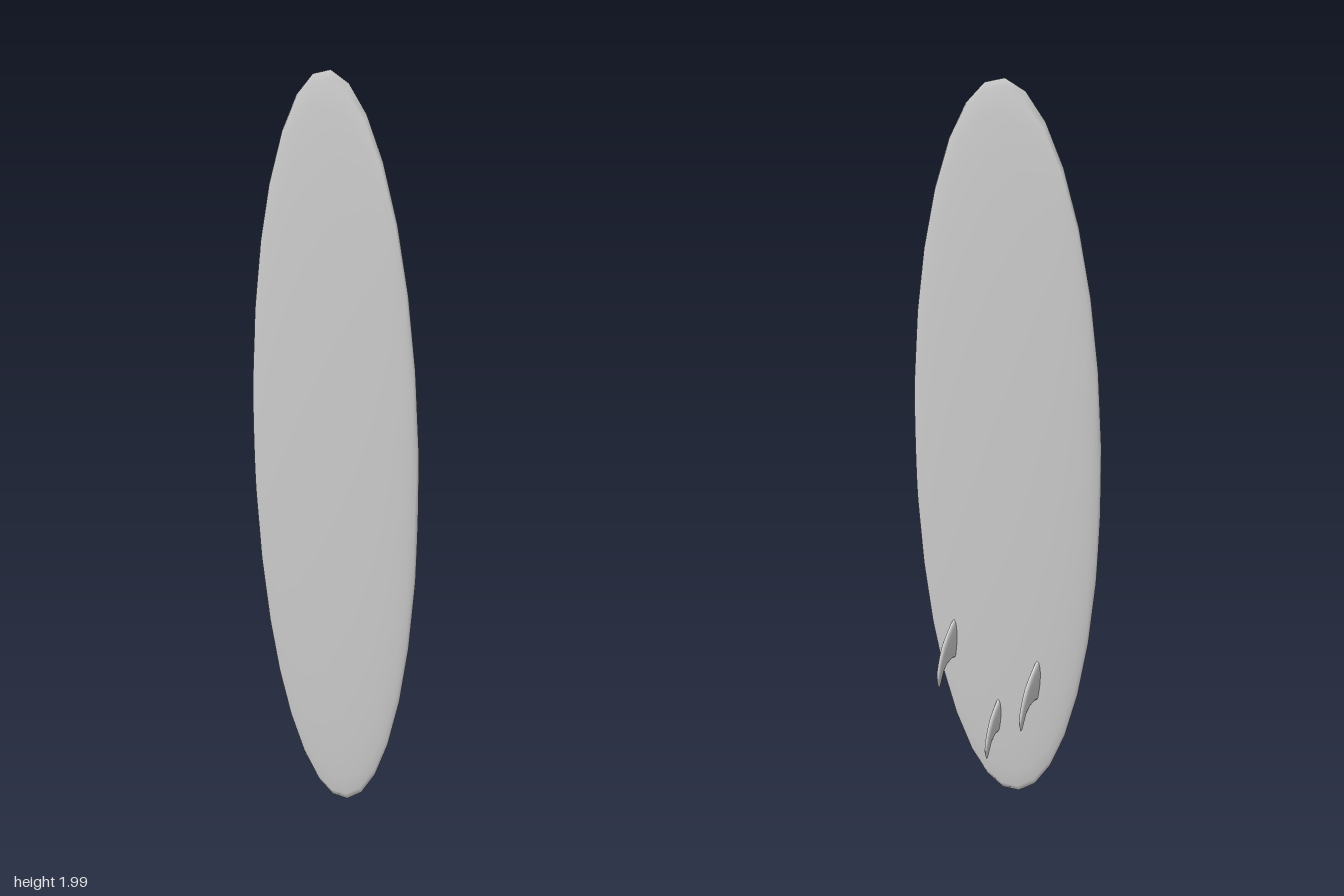
import * as THREE from 'three';

const material = new THREE.MeshStandardMaterial({ color: 0xcccccc, side: THREE.DoubleSide });

// Fin stations from root to tip: x, leading-edge y, trailing-edge y, thickness
const STATIONS = [
  [-0.02, 0.525, 0.39, 0.019],
  [0.0, 0.508, 0.394, 0.018],
  [0.02, 0.482, 0.388, 0.017],
  [0.035, 0.457, 0.372, 0.016],
  [0.045, 0.433, 0.345, 0.014],
  [0.052, 0.412, 0.326, 0.012],
  [0.058, 0.388, 0.326, 0.01],
  [0.062, 0.36, 0.342, 0.005],
];

// Lofts a foil section (round nose, thin tail) through the stations
function finGeometry() {
  const half = 10, ring = half * 2;
  const positions = [], indices = [];
  for (const [x, lead, trail, thick] of STATIONS) {
    for (let i = 0; i < ring; i++) {
      const a = (i / ring) * Math.PI * 2;
      const u = (1 - Math.cos(a)) / 2;
      const z = Math.sign(Math.sin(a)) * 1.3 * Math.sqrt(u) * (1 - u) * thick;
      positions.push(x, lead + (trail - lead) * u, z);
    }
  }
  const last = STATIONS.length - 1;
  for (let s = 0; s < last; s++) {
    for (let i = 0; i < ring; i++) {
      const a = s * ring + i, b = s * ring + (i + 1) % ring;
      indices.push(a, a + ring, b, b, a + ring, b + ring);
    }
  }
  // Tip cap
  for (let i = 1; i < ring - 1; i++) {
    indices.push(last * ring, last * ring + i + 1, last * ring + i);
  }
  const g = new THREE.BufferGeometry();
  g.setAttribute('position', new THREE.Float32BufferAttribute(positions, 3));
  g.setIndex(indices);
  // Make sure the faces look outward
  const p = g.attributes.position;
  let volume = 0;
  const [A, B, C] = [0, 1, 2].map(() => new THREE.Vector3());
  for (let i = 0; i < indices.length; i += 3) {
    A.fromBufferAttribute(p, indices[i]);
    B.fromBufferAttribute(p, indices[i + 1]);
    C.fromBufferAttribute(p, indices[i + 2]);
    volume += A.dot(B.cross(C));
  }
  if (volume < 0) g.setIndex(indices.reverse());
  g.computeVertexNormals();
  return g;
}

export function createModel() {
  const model = new THREE.Group();
  model.name = 'surfboard';

  // Board: flattened ellipsoid with its poles at the side rails
  const boardGeometry = new THREE.SphereGeometry(1, 32, 16);
  boardGeometry.rotateX(Math.PI / 2);
  boardGeometry.scale(0.031, 0.997, 0.301);
  const board = new THREE.Mesh(boardGeometry, material);
  board.name = 'board';
  board.position.set(-0.031, 1.003, 0);
  model.add(board);

  // Two side fins and a lower centre fin
  const fin = finGeometry();
  const fins = [
    ['frontFin', 0, 0, 0.155],
    ['rearFin', 0, 0, -0.135],
    ['centreFin', -0.016, -0.173, -0.002],
  ];
  for (const [name, x, y, z] of fins) {
    const mesh = new THREE.Mesh(fin, material);
    mesh.name = name;
    mesh.position.set(x, y, z);
    model.add(mesh);
  }
  return model;
}
